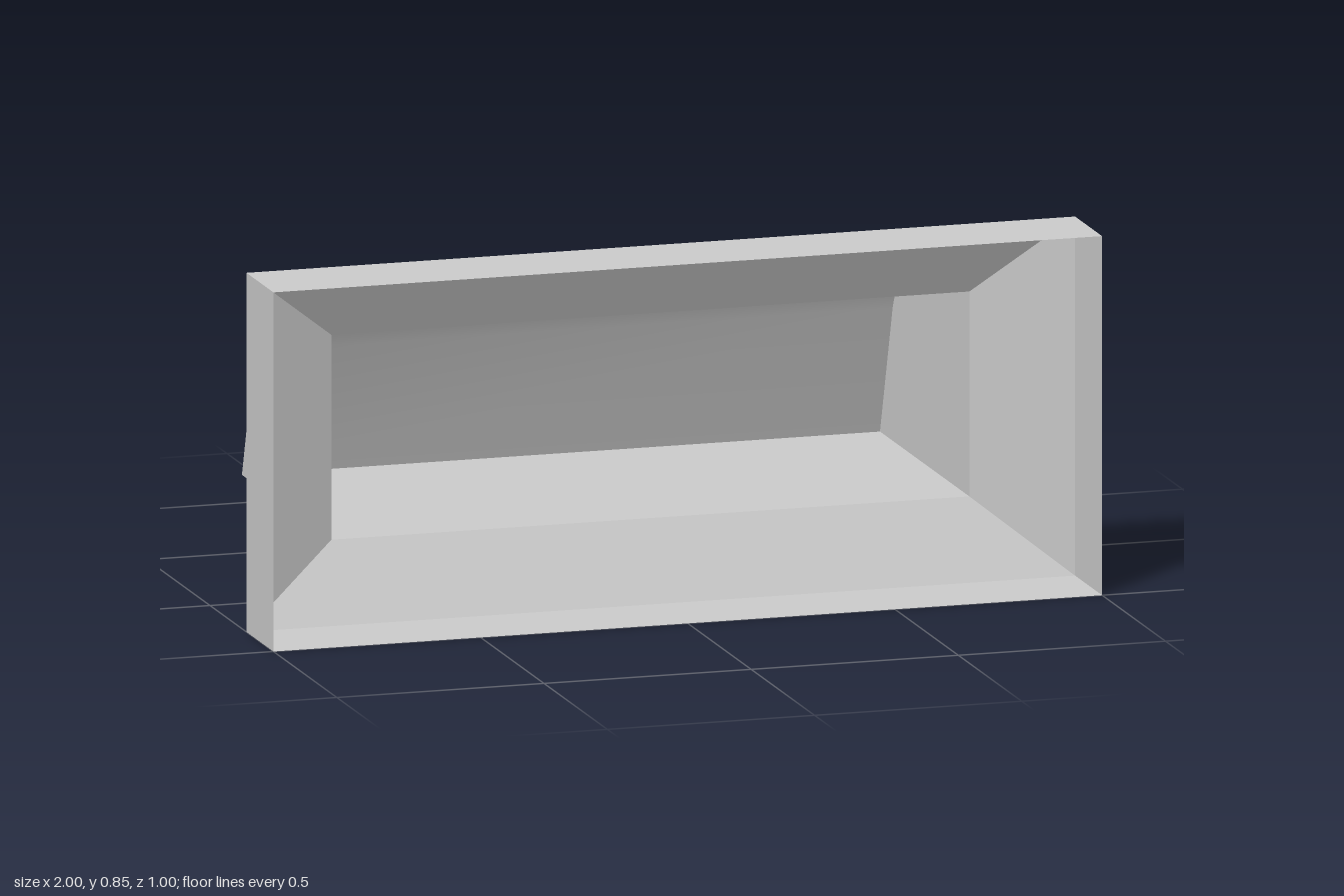
import * as THREE from 'three';

const HALF = 0.77; // half width of the hood
// hood outline from the front top edge over to the back lip: [z, y]
const HOOD = [[0.205, 0.67], [-0.275, 0.67], [-0.34, 0.62], [-0.4, 0.5], [-0.5, 0.185]];
const FLOOR = 0.185;

function geometry(points, index, smooth) {
  let g = new THREE.BufferGeometry();
  g.setAttribute('position', new THREE.Float32BufferAttribute(points.flat(), 3));
  g.setIndex(index);
  if (!smooth) g = g.toNonIndexed();
  g.computeVertexNormals();
  return g;
}

// rectangular ring of four corners, counter-clockwise from the front
const ring = (w, y0, y1, z) => [[-w, y0, z], [w, y0, z], [w, y1, z], [-w, y1, z]];

// flat walls joining a front ring to a back ring
function walls(front, back) {
  const index = [];
  for (let i = 0; i < 4; i++) {
    const j = (i + 1) % 4;
    index.push(i, i + 4, j, j, i + 4, j + 4);
  }
  return geometry([...front, ...back], index, false);
}

export function createModel() {
  const group = new THREE.Group();
  const grey = new THREE.MeshStandardMaterial({ color: 0xcccccc, side: THREE.DoubleSide });
  const add = (name, geo) => {
    const mesh = new THREE.Mesh(geo, grey);
    mesh.name = name;
    group.add(mesh);
    return mesh;
  };

  // open front rim and the tapered funnel behind it
  const rimFront = ring(1, 0, 0.85, 0.5);
  const rimBack = ring(1, 0, 0.85, 0.287);
  const throat = ring(HALF, FLOOR, 0.67, 0.205);
  add('rim', walls(rimFront, rimBack));
  add('funnel', walls(rimBack, throat));

  // smooth sheet forming the top and the rounded back
  const points = HOOD.flatMap(([z, y]) => [[-HALF, y, z], [HALF, y, z]]);
  const index = [];
  for (let i = 0; i < HOOD.length - 1; i++) {
    const a = i * 2;
    index.push(a, a + 1, a + 2, a + 1, a + 3, a + 2);
  }
  add('hood', geometry(points, index, true));

  // flat floor
  const floor = [[-HALF, FLOOR, 0.205], [HALF, FLOOR, 0.205], [HALF, FLOOR, -0.5], [-HALF, FLOOR, -0.5]];
  add('floor', geometry(floor, [0, 2, 1, 0, 3, 2], false));

  // side cheeks, one turned to face each way
  const outline = [...HOOD, [0.205, FLOOR]];
  for (const side of [1, -1]) {
    const shape = new THREE.Shape(outline.map(([z, y]) => new THREE.Vector2(-side * z, y)));
    const cheek = new THREE.ShapeGeometry(shape).rotateY(side * Math.PI / 2).translate(side * HALF, 0, 0);
    add(side > 0 ? 'leftCheek' : 'rightCheek', cheek);
  }
  return group;
}
